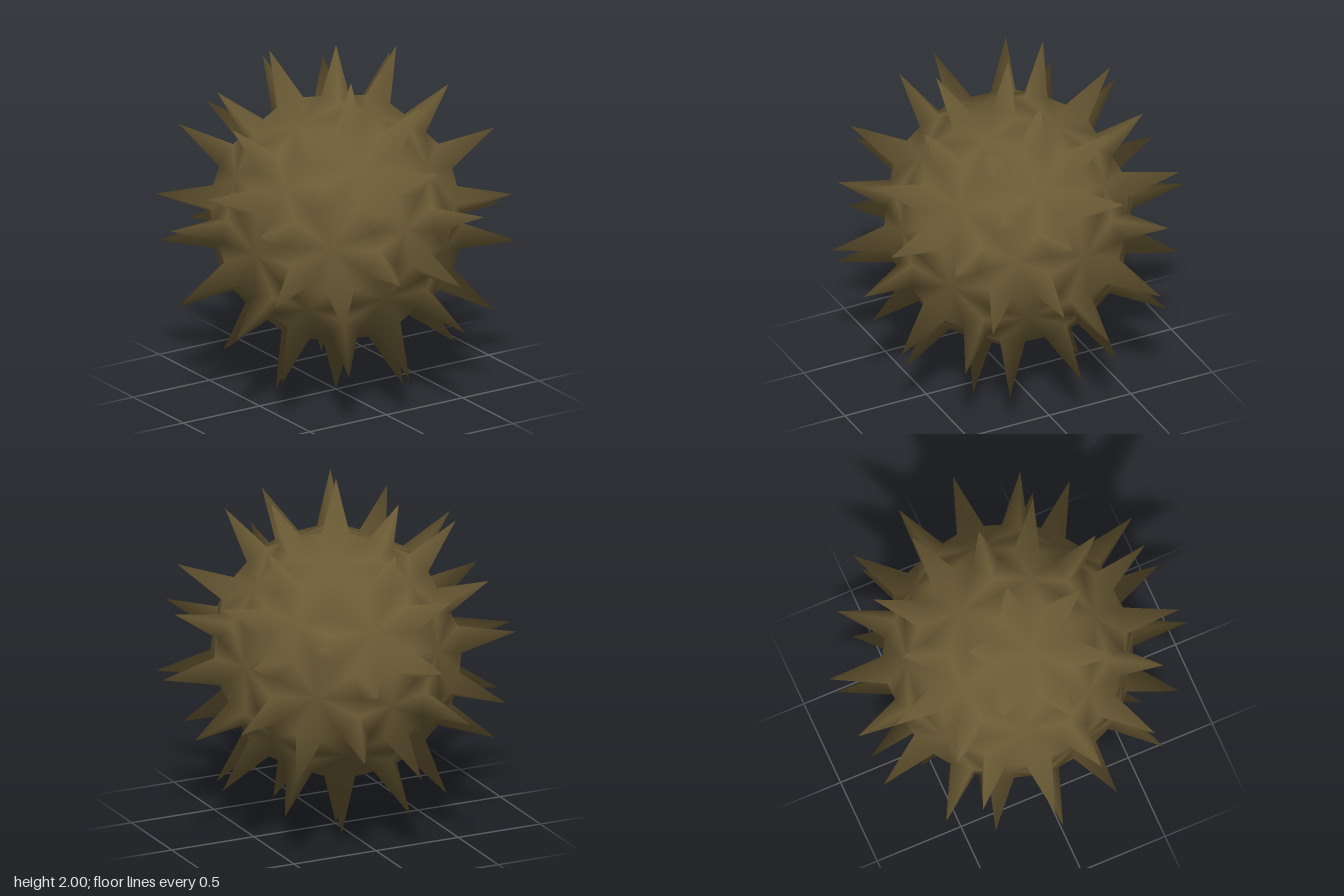
import * as THREE from 'three';

const BODY_R = 0.71, TIP_R = 1, BASE = 0.31; // BASE: spike foot as a share of the edge

export function createModel() {
  // Icosahedron corners, from which the 60-cornered body is cut
  const phi = (1 + Math.sqrt(5)) / 2, ico = [];
  for (const s of [-1, 1]) for (const t of [-phi, phi]) {
    ico.push(new THREE.Vector3(0, s, t), new THREE.Vector3(s, t, 0), new THREE.Vector3(t, 0, s));
  }
  const adjacent = (a, b) => Math.abs(ico[a].distanceTo(ico[b]) - 2) < 0.01;
  // The corner that completes a counter-clockwise triangle a, b, c
  const third = (a, b) => ico.findIndex((v, c) => adjacent(a, c) && adjacent(b, c) &&
    ico[a].dot(ico[b].clone().cross(v)) > 0);
  const rawCorner = (a, b) => ico[a].clone().multiplyScalar(2).add(ico[b]).normalize();

  // Turn the body so that one corner is straight up
  const frame = (up, side) => {
    const x = side.clone().addScaledVector(up, -side.dot(up)).normalize();
    return new THREE.Matrix4().makeBasis(up, x, up.clone().cross(x));
  };
  const b0 = ico.findIndex((v, i) => adjacent(0, i));
  const az = THREE.MathUtils.degToRad(-124.3);
  const turn = frame(new THREE.Vector3(0, 1, 0), new THREE.Vector3(Math.cos(az), 0, Math.sin(az)))
    .multiply(frame(rawCorner(0, b0), rawCorner(b0, 0)).transpose());
  const corner = ([a, b]) => rawCorner(a, b).applyMatrix4(turn);

  // Shared vertices, looked up by key
  const positions = [], ids = new Map();
  const vertex = (key, p) => {
    if (!ids.has(key)) {
      ids.set(key, positions.length / 3);
      positions.push(p.x, p.y + 1, p.z);
    }
    return ids.get(key);
  };
  const foot = (u, w) => vertex(`${u}>${w}`, corner(u).lerp(corner(w), BASE).multiplyScalar(BODY_R));
  const tip = (u) => vertex(`${u}`, corner(u).multiplyScalar(TIP_R));

  // Each panel gets its corners cut off, and each cut carries one side of a spike
  const panels = [], spikes = [];
  const addPanel = (loop) => {
    const n = loop.length, rim = [];
    const centre = loop.reduce((s, u) => s.add(corner(u)), new THREE.Vector3()).multiplyScalar(BODY_R / n);
    const mid = vertex(`panel ${loop.join('|')}`, centre);
    loop.forEach((u, i) => {
      const before = foot(u, loop[(i + n - 1) % n]), after = foot(u, loop[(i + 1) % n]);
      rim.push(before, after);
      spikes.push(after, before, tip(u));
    });
    rim.forEach((r, i) => panels.push(mid, r, rim[(i + 1) % rim.length]));
  };

  for (let a = 0; a < 12; a++) {
    // Pentagon around each icosahedron corner
    const ring = [ico.findIndex((v, i) => adjacent(a, i))];
    while (ring.length < 5) ring.push(third(a, ring[ring.length - 1]));
    addPanel(ring.map((b) => [a, b]));
    // Hexagon in each icosahedron face, made once
    for (const b of ring) {
      const c = third(a, b);
      if (a < b && a < c) addPanel([[a, b], [b, a], [b, c], [c, b], [c, a], [a, c]]);
    }
  }

  // Smooth normals run across panels and spikes alike
  const whole = new THREE.BufferGeometry();
  whole.setAttribute('position', new THREE.Float32BufferAttribute(positions, 3));
  whole.setIndex([...panels, ...spikes]);
  whole.computeVertexNormals();

  const material = new THREE.MeshStandardMaterial({ color: 0x6b5b35 });
  const group = new THREE.Group();
  group.name = 'spikedBall';
  for (const [name, index] of [['ballBody', panels], ['spikes', spikes]]) {
    const geometry = new THREE.BufferGeometry();
    geometry.setAttribute('position', whole.getAttribute('position').clone());
    geometry.setAttribute('normal', whole.getAttribute('normal').clone());
    geometry.setIndex(index);
    const mesh = new THREE.Mesh(geometry, material);
    mesh.name = name;
    group.add(mesh);
  }
  return group;
}
